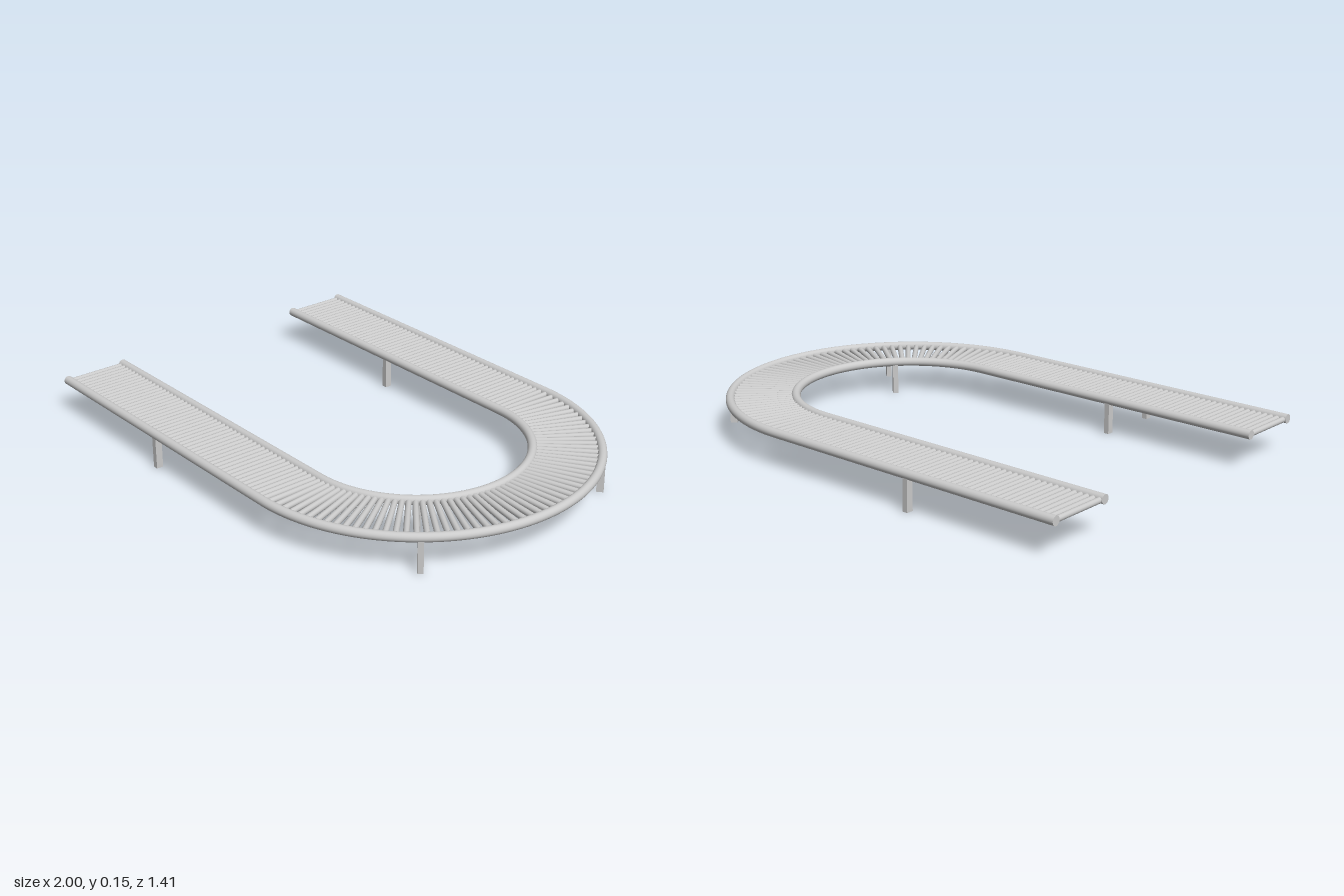
import * as THREE from 'three';

const INNER = 0.437, OUTER = 0.69, MID = (INNER + OUTER) / 2; // rail centre radii
const BEND_X = 0.2925, START_X = -1, STRAIGHT = BEND_X - START_X;
const RAIL_Y = 0.1325, RAIL_R = 0.0175;

// U-shaped path: straight run, half circle, straight run back
class TrackCurve extends THREE.Curve {
  constructor(radius) {
    super();
    this.radius = radius;
  }
  getPoint(t, target = new THREE.Vector3()) {
    const r = this.radius, arc = Math.PI * r;
    const s = t * (2 * STRAIGHT + arc);
    if (s < STRAIGHT) return target.set(START_X + s, RAIL_Y, r);
    if (s > STRAIGHT + arc) return target.set(BEND_X - (s - STRAIGHT - arc), RAIL_Y, -r);
    const a = Math.PI / 2 - (s - STRAIGHT) / r;
    return target.set(BEND_X + r * Math.cos(a), RAIL_Y, r * Math.sin(a));
  }
}

export function createModel() {
  const model = new THREE.Group();
  const material = new THREE.MeshStandardMaterial({ color: 0xcccccc });

  const add = (parent, name, geometry, x, y, z, rotY = 0) => {
    const mesh = new THREE.Mesh(geometry, material);
    mesh.name = name;
    mesh.position.set(x, y, z);
    mesh.rotation.y = rotY;
    parent.add(mesh);
  };

  // Side rails with closed ends
  const capGeo = new THREE.CircleGeometry(RAIL_R, 20);
  for (const [name, r] of [['innerRail', INNER], ['outerRail', OUTER]]) {
    const rail = new THREE.Group();
    rail.name = name;
    add(rail, name + 'Tube', new THREE.TubeGeometry(new TrackCurve(r), 200, RAIL_R, 20), 0, 0, 0);
    for (const side of [1, -1]) add(rail, name + 'Cap', capGeo, START_X, RAIL_Y, side * r, -Math.PI / 2);
    model.add(rail);
  }

  // Rollers lying across the track
  const rollers = new THREE.Group();
  rollers.name = 'rollers';
  model.add(rollers);
  const rollerGeo = new THREE.CylinderGeometry(0.011, 0.011, OUTER - INNER, 12).rotateX(Math.PI / 2);
  const straightCount = 52, bendCount = 60;
  for (let i = 0; i < straightCount; i++) {
    const x = START_X + (i + 0.5) * STRAIGHT / straightCount;
    for (const side of [1, -1]) add(rollers, 'straightRoller', rollerGeo, x, RAIL_Y - 0.002, side * MID);
  }
  for (let i = 0; i < bendCount; i++) {
    const a = (i + 0.5) / bendCount * Math.PI; // 0 points to +z
    add(rollers, 'bendRoller', rollerGeo,
      BEND_X + MID * Math.sin(a), RAIL_Y - 0.002, MID * Math.cos(a), a);
  }

  // Legs under both rails, on the straights and around the bend
  const legGeo = new THREE.BoxGeometry(0.021, 0.125, 0.027);
  const legAngle = THREE.MathUtils.degToRad(50.6);
  for (const r of [INNER, OUTER]) {
    for (const side of [1, -1]) {
      add(model, 'straightLeg', legGeo, -0.363, 0.0625, side * r);
      add(model, 'bendLeg', legGeo,
        BEND_X + r * Math.sin(legAngle), 0.0625, side * r * Math.cos(legAngle), side * legAngle);
    }
  }
  return model;
}
